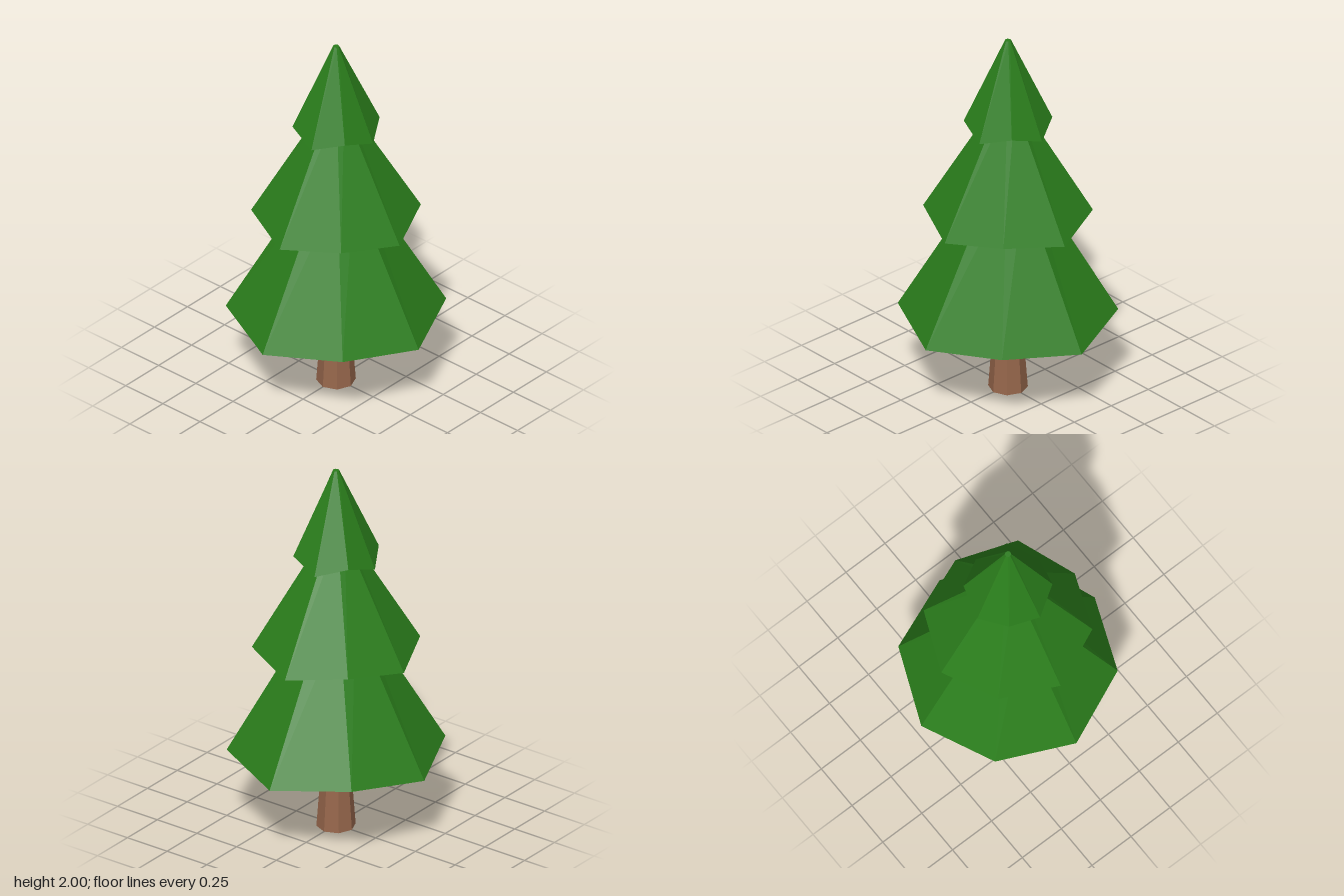
import * as THREE from 'three';

const SIDES = 8;
const leafMaterial = new THREE.MeshStandardMaterial({ color: 0x2a7d1b, flatShading: true });
const barkMaterial = new THREE.MeshStandardMaterial({ color: 0x96664b, flatShading: true });

// One skirt of foliage: a tapered octagon whose rim zigzags and whose underside is hollowed
function foliageTier({ name, radius, topRadius, low, high, top, hollow, turn = 0 }) {
  const geometry = new THREE.CylinderGeometry(topRadius, radius, top - low, SIDES, 1);
  geometry.translate(0, (top + low) / 2, 0);
  const p = geometry.attributes.position;
  for (let i = 0; i < p.count; i++) {
    if (p.getY(i) > low + 0.001) continue;
    const x = p.getX(i), z = p.getZ(i);
    const corner = Math.round(Math.atan2(x, z) / (Math.PI * 2 / SIDES));
    if (Math.hypot(x, z) < 0.001) p.setY(i, hollow);
    else if (corner % 2 !== 0) p.setY(i, high);
  }
  geometry.computeVertexNormals();
  const mesh = new THREE.Mesh(geometry, leafMaterial);
  mesh.name = name;
  mesh.rotation.y = turn;
  return mesh;
}

export function createModel() {
  const tree = new THREE.Group();
  tree.name = 'pineTree';

  // Trunk with a narrow waist
  const profile = [[0, 0], [0.1, 0], [0.08, 0.27], [0.1, 0.52], [0, 0.52]]
    .map(([r, y]) => new THREE.Vector2(r, y));
  const trunk = new THREE.Mesh(new THREE.LatheGeometry(profile, SIDES), barkMaterial);
  trunk.name = 'trunk';
  tree.add(trunk);

  // Three stacked skirts, the top one slightly turned
  const tiers = [
    { name: 'lowerFoliage', radius: 0.556, topRadius: 0.12, low: 0.415, high: 0.462, top: 1.2, hollow: 0.49 },
    { name: 'middleFoliage', radius: 0.428, topRadius: 0.055, low: 0.985, high: 1.033, top: 1.65, hollow: 1.06 },
    { name: 'upperFoliage', radius: 0.224, topRadius: 0.016, low: 1.495, high: 1.545, top: 2, hollow: 1.55, turn: 0.14 },
  ];
  for (const tier of tiers) tree.add(foliageTier(tier));

  return tree;
}
